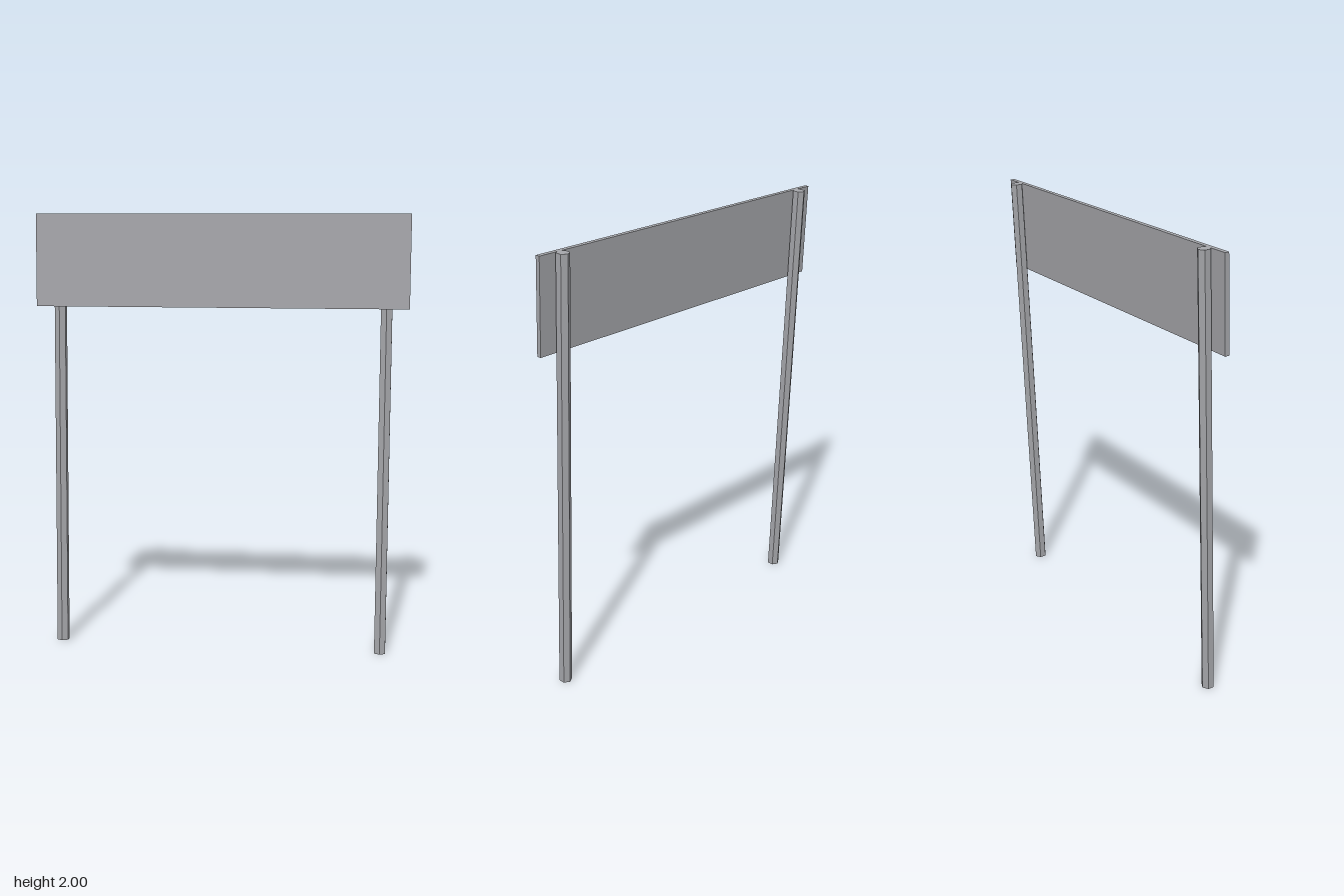
import * as THREE from 'three';

export function createModel() {
  const model = new THREE.Group();
  model.name = 'signboard';
  const metal = new THREE.MeshStandardMaterial({ color: 0xa5a6aa, flatShading: true });
  metal.name = 'grey metal';

  const tilt = THREE.MathUtils.degToRad(2.5);
  const postRadius = 0.029, postLength = 1.9987;

  // Whole sign leans back slightly
  const frame = new THREE.Group();
  frame.name = 'leaningFrame';
  frame.rotation.x = -tilt;
  frame.position.set(0, postRadius * Math.sin(tilt), 0.0435);
  model.add(frame);

  // Hexagonal posts, an edge facing forward
  for (const side of [-1, 1]) {
    const post = new THREE.Mesh(new THREE.CylinderGeometry(postRadius, postRadius, postLength, 6), metal);
    post.name = side > 0 ? 'leftPost' : 'rightPost';
    post.position.set(side * 0.748, postLength / 2, 0);
    frame.add(post);
  }

  // Panel fixed to the front of the posts, flush with their tops
  const panelHeight = 0.42;
  const panel = new THREE.Mesh(new THREE.BoxGeometry(1.7, panelHeight, 0.02), metal);
  panel.name = 'panel';
  panel.position.set(0, postLength - panelHeight / 2, 0.0335);
  frame.add(panel);

  return model;
}
